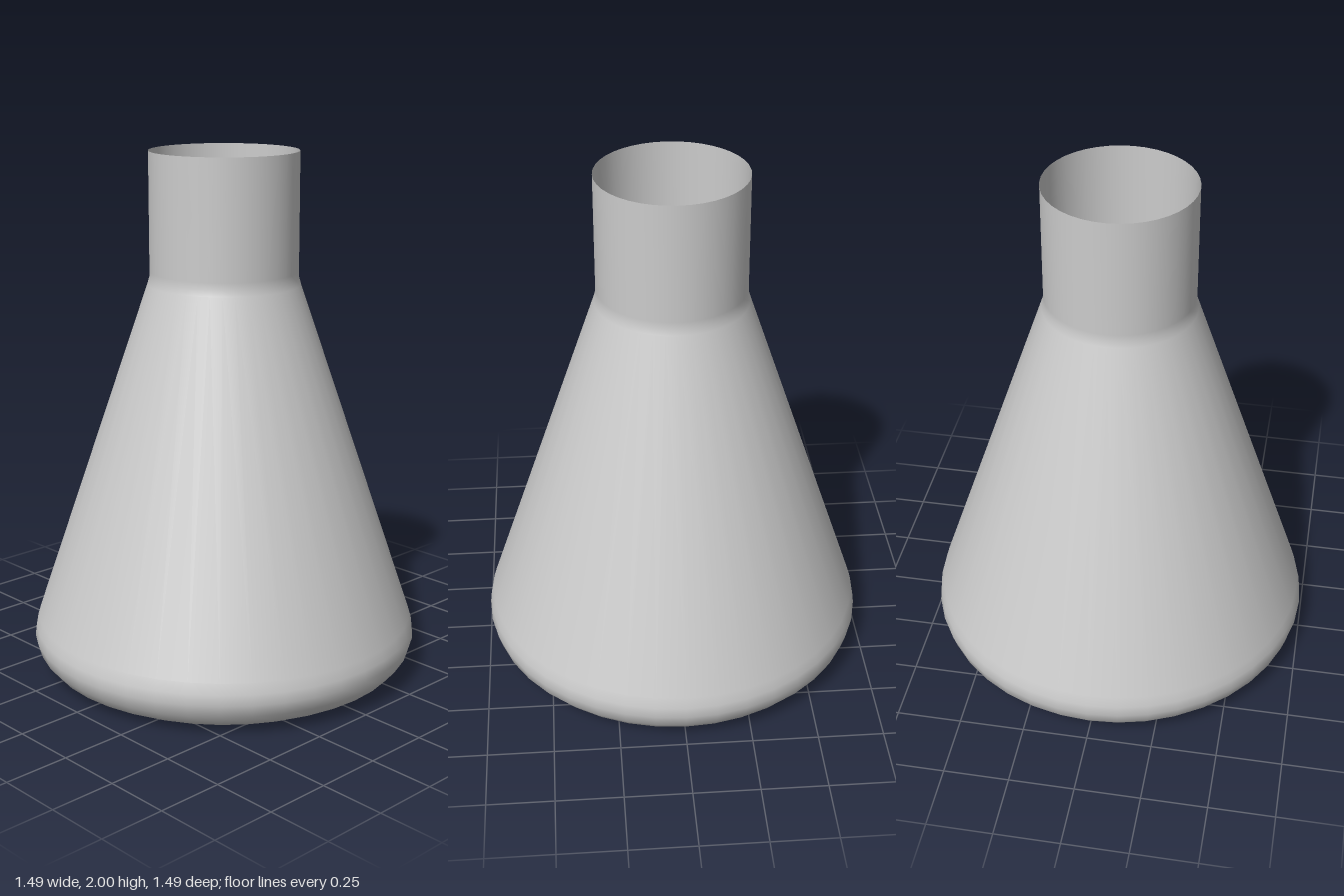
import * as THREE from 'three';

export function createModel() {
  const group = new THREE.Group();
  const material = new THREE.MeshStandardMaterial({ color: 0xcccccc, side: THREE.DoubleSide });

  // Thin-walled flask: flat floor, rounded heel, conical wall, soft shoulder, open neck
  const profile = [
    [0, 0], [0.48, 0], [0.6, 0.004], [0.645, 0.011], [0.695, 0.038],
    [0.73, 0.08], [0.745, 0.13], [0.74, 0.17], [0.728, 0.21],
    [0.288, 1.505], [0.281, 1.53], [0.28, 1.555], [0.28, 2],
  ].map(([r, y]) => new THREE.Vector2(r, y));

  const flask = new THREE.Mesh(new THREE.LatheGeometry(profile, 40), material);
  flask.name = 'flaskBody';
  group.add(flask);
  return group;
}
